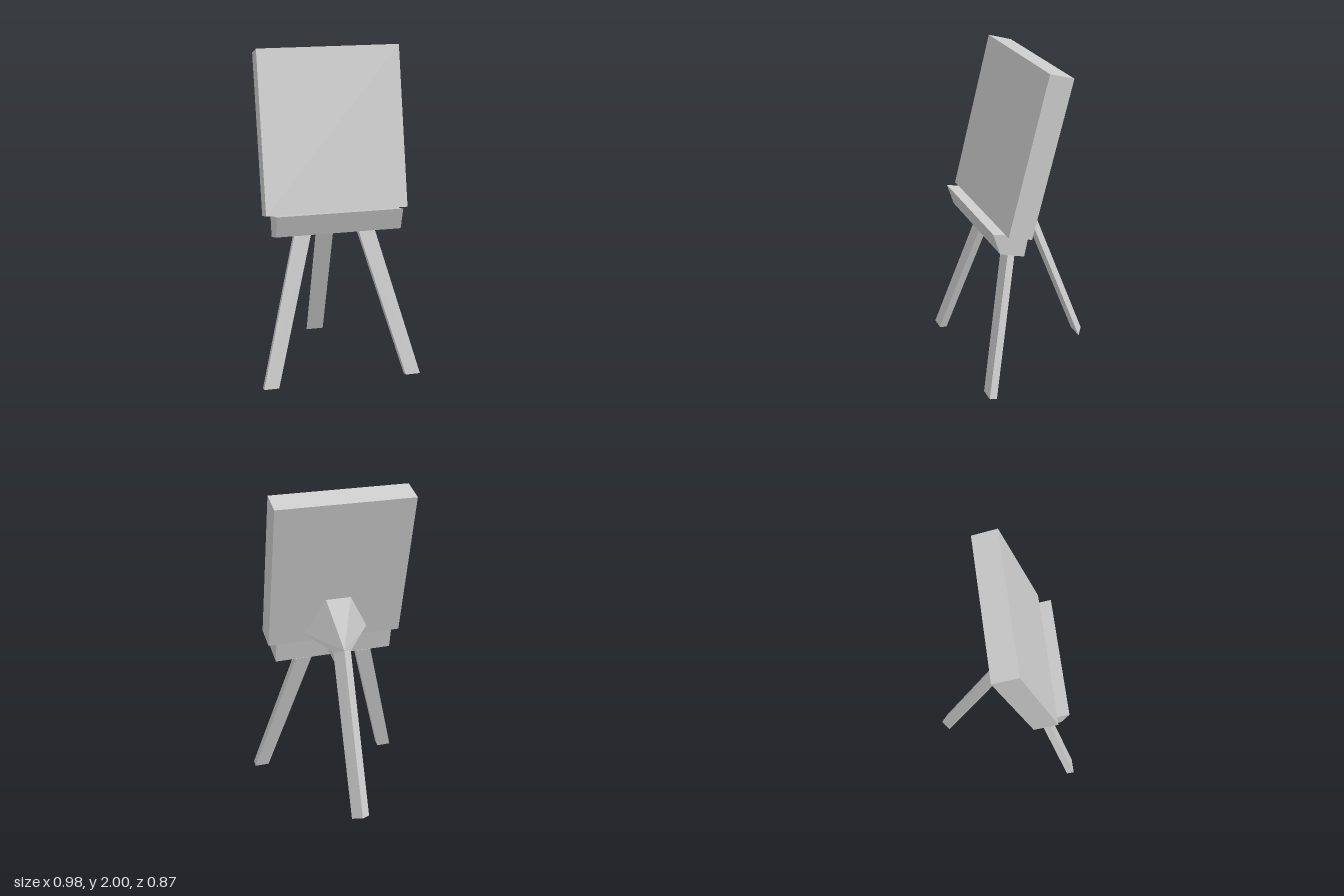
import * as THREE from 'three';
import { ConvexGeometry } from 'three/addons/geometries/ConvexGeometry.js';

const material = new THREE.MeshStandardMaterial({ color: 0xcccccc, flatShading: true });

function part(name, geometry) {
  const mesh = new THREE.Mesh(geometry, material);
  mesh.name = name;
  return mesh;
}

// Side profile given as [z, y] points, extruded across the width in x
function slab(name, profile, width) {
  const shape = new THREE.Shape(profile.map(([z, y]) => new THREE.Vector2(z, y)));
  const geometry = new THREE.ExtrudeGeometry(shape, { depth: width, bevelEnabled: false });
  geometry.translate(0, 0, -width / 2).rotateY(-Math.PI / 2);
  return part(name, geometry);
}

// Flat-faced solid joining two end sections given as [x, y, z] corners
function beam(name, endA, endB) {
  return part(name, new ConvexGeometry([...endA, ...endB].map((p) => new THREE.Vector3(...p))));
}

export function createModel() {
  const easel = new THREE.Group();
  easel.name = 'easel';

  // Thick leaning panel and the ledge that carries it
  easel.add(slab('canvas', [[0.03, 2], [-0.118, 1.955], [0.132, 1.018], [0.28, 1.06]], 0.86));
  easel.add(slab('tray', [[0.354, 1.075], [0.132, 1.018], [0.16, 0.89], [0.312, 0.938]], 0.76));

  // Splayed front legs, mirrored
  for (const s of [1, -1]) {
    const section = (inner, outer, front, back) => [
      [s * inner, front[1], front[0]], [s * outer, front[1], front[0]],
      [s * outer, back[1], back[0]], [s * inner, back[1], back[0]],
    ];
    easel.add(beam(s > 0 ? 'frontLegLeft' : 'frontLegRight',
      section(0.397, 0.488, [0.437, 0.022], [0.39, 0.01]),
      section(0.147, 0.25, [0.202, 0.903], [0.158, 0.89])));
  }

  // Three-sided back leg with its ridge facing the rear
  const legTop = [[0.057, 0.982, -0.018], [-0.057, 0.982, -0.018], [0, 1.01, -0.064]];
  const legFoot = [[0.057, 0, -0.392], [-0.057, 0, -0.392], [0, 0.02, -0.437]];
  easel.add(beam('backLeg', legFoot, legTop));

  // Flared bracket from the leg top to the back of the canvas
  easel.add(beam('bracket', legTop, [
    [0.08, 1.31, 0.054], [-0.08, 1.31, 0.054], [0.205, 1.08, 0.115], [-0.205, 1.08, 0.115],
  ]));

  // Short strut between tray and back leg
  easel.add(slab('strut', [[0.147, 0.98], [-0.025, 0.953], [-0.052, 0.89], [0.155, 0.93]], 0.08));

  return easel;
}
